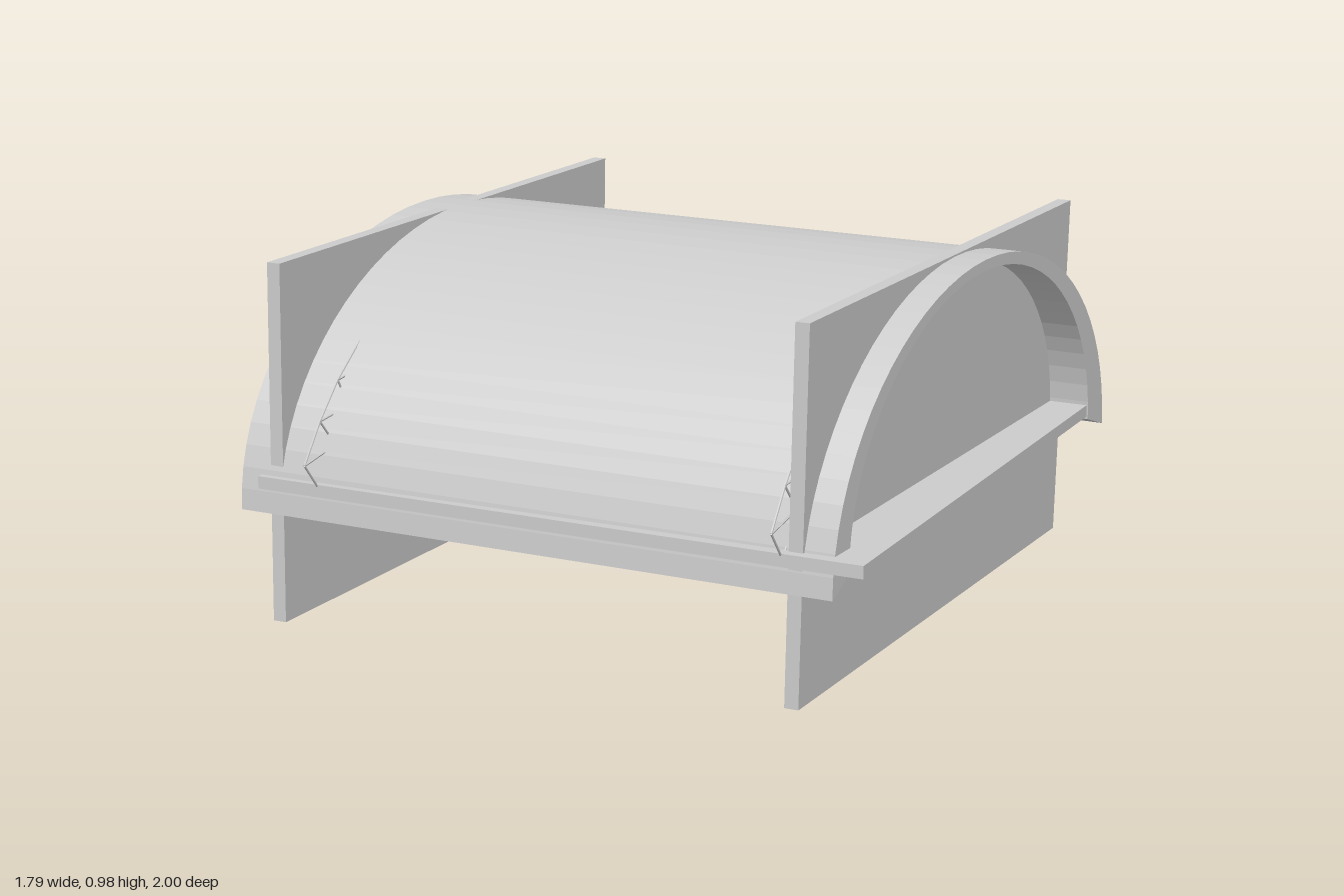
import * as THREE from 'three';

const grey = new THREE.MeshStandardMaterial({ color: 0xcccccc, flatShading: true });

// Moves every vertex of a geometry by a rule
function warp(geometry, rule) {
  const p = geometry.attributes.position;
  const v = new THREE.Vector3();
  for (let i = 0; i < p.count; i++) {
    v.fromBufferAttribute(p, i);
    rule(v);
    p.setXYZ(i, v.x, v.y, v.z);
  }
  geometry.computeVertexNormals();
  return geometry;
}

function addMesh(parent, name, geometry) {
  const mesh = new THREE.Mesh(geometry, grey);
  mesh.name = name;
  parent.add(mesh);
  return mesh;
}

// Arched roof shell: thick at the feet, thin at the crown, slightly skewed
function vaultGeometry() {
  const N = 36, outline = [];
  for (let i = 0; i <= N; i++) {
    const a = (Math.PI * i) / N;
    outline.push(new THREE.Vector2(0.0625 + 0.868 * Math.cos(a), 0.315 + 0.662 * Math.sin(a)));
  }
  for (let i = N; i >= 0; i--) {
    const a = (Math.PI * i) / N;
    outline.push(new THREE.Vector2(0.074 + 0.768 * Math.cos(a), 0.355 + 0.593 * Math.sin(a)));
  }
  const geometry = new THREE.ExtrudeGeometry(new THREE.Shape(outline), { depth: 1.695, bevelEnabled: false });
  geometry.translate(0, 0, -0.8475);
  geometry.rotateY(-Math.PI / 2);
  return warp(geometry, (v) => {
    const dz = v.z - 0.0625;
    v.y -= 0.017 * dz + 0.005 * v.x;
    v.z = 0.0625 + dz * (1 - 0.01 * v.x);
    v.x -= 0.0575 * dz + 0.002;
  });
}

// Upright board, turned a little and leaning a little sideways
function wallGeometry(frontX) {
  const geometry = new THREE.BoxGeometry(0.038, 0.978, 1.685);
  geometry.translate(0, 0.489, 0.0775);
  return warp(geometry, (v) => {
    v.x += frontX + (0.92 - v.z) * 0.0365 + 0.022 * v.y;
  });
}

// Flat lattice strut made of two chords with zigzag bracing; points are [z, y]
function lattice(name, x, outer, inner) {
  const group = new THREE.Group();
  group.name = name;
  const bar = (a, b) => {
    const p = new THREE.Vector3(x, a[1], a[0]);
    const d = new THREE.Vector3(x, b[1], b[0]).sub(p);
    const mesh = addMesh(group, 'latticeBar', new THREE.CylinderGeometry(0.003, 0.003, d.length(), 5));
    mesh.position.copy(p).addScaledVector(d, 0.5);
    mesh.quaternion.setFromUnitVectors(new THREE.Vector3(0, 1, 0), d.normalize());
  };
  outer.forEach((o, i) => {
    bar(o, inner[i]);
    if (i === 0) return;
    bar(outer[i - 1], o);
    bar(inner[i - 1], inner[i]);
    bar(o, inner[i - 1]);
  });
  return group;
}

export function createModel() {
  const model = new THREE.Group();
  model.name = 'vaultedShelter';

  addMesh(model, 'vaultRoof', vaultGeometry());

  // Floor slab
  const slab = addMesh(model, 'floorSlab', new THREE.BoxGeometry(1.725, 0.034, 1.729));
  slab.position.set(0.0225, 0.388, 0.08);

  // Two supporting walls
  addMesh(model, 'rightWall', wallGeometry(-0.805));
  addMesh(model, 'leftWall', wallGeometry(0.688));

  // Lattice struts at the feet of the roof
  const frontOuter = [[0.72, 0.74], [0.83, 0.66], [0.92, 0.57], [0.998, 0.47]];
  const frontInner = [[0.71, 0.67], [0.78, 0.58], [0.85, 0.49], [0.93, 0.385]];
  const backOuter = [[-0.63, 0.72], [-0.72, 0.63], [-0.805, 0.525], [-0.908, 0.383], [-0.997, 0.248]];
  const backInner = [[-0.64, 0.63], [-0.70, 0.53], [-0.772, 0.43], [-0.865, 0.29], [-0.922, 0.183]];
  model.add(
    lattice('frontRightLattice', -0.657, frontOuter, frontInner),
    lattice('frontLeftLattice', 0.667, frontOuter, frontInner),
    lattice('backRightLattice', -0.646, backOuter, backInner),
    lattice('backLeftLattice', 0.679, backOuter, backInner)
  );
  return model;
}
